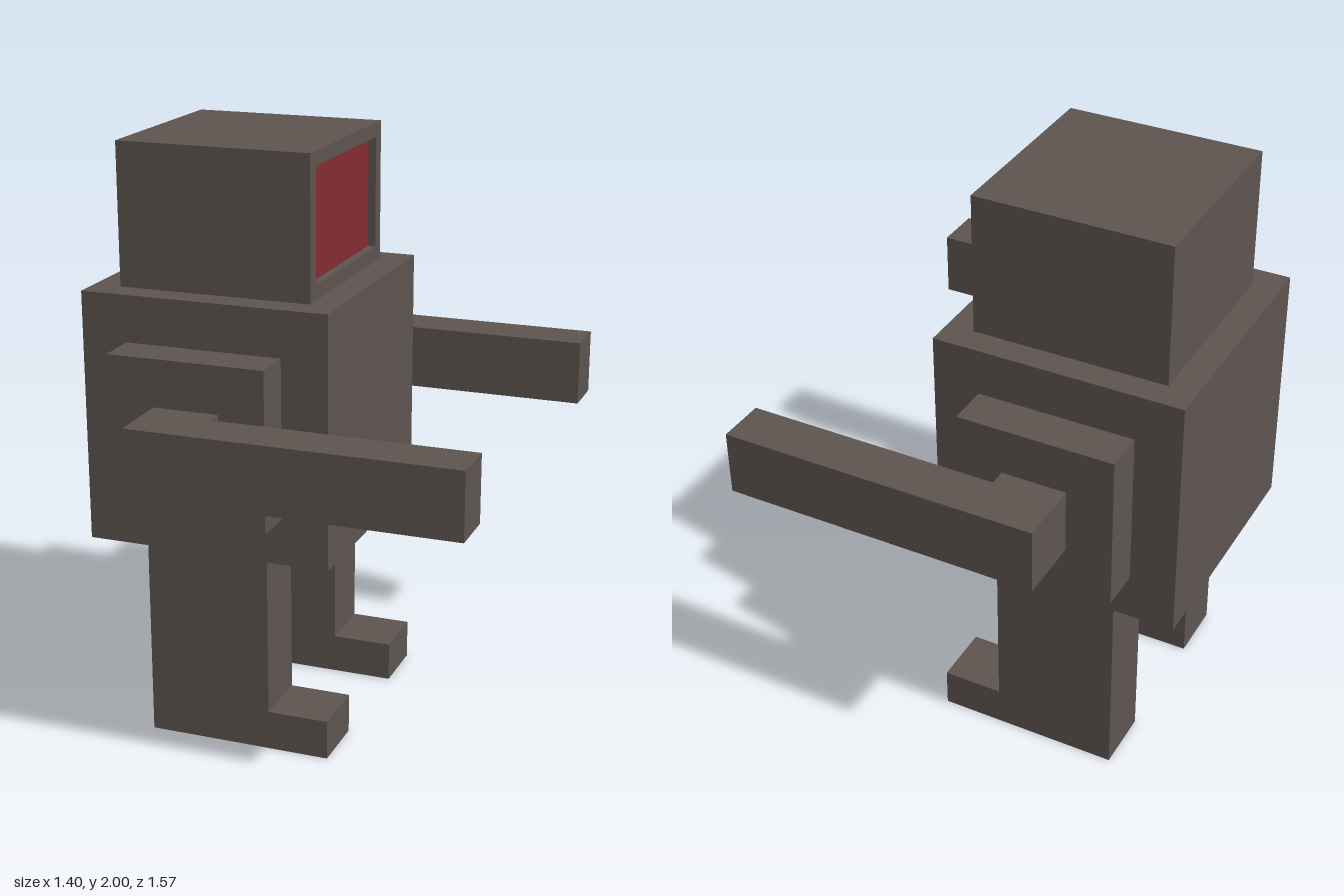
import * as THREE from 'three';

const shell = new THREE.MeshStandardMaterial({ color: 0x5f5651 });
shell.name = 'grey brown shell';
const red = new THREE.MeshStandardMaterial({ color: 0x872d30 });
red.name = 'red visor';

// Box given by its extents on each axis
function block(name, [x0, x1], [y0, y1], [z0, z1], material = shell) {
  const geometry = new THREE.BoxGeometry(x1 - x0, y1 - y0, z1 - z0);
  geometry.translate((x0 + x1) / 2, (y0 + y1) / 2, (z0 + z1) / 2);
  const mesh = new THREE.Mesh(geometry, material);
  mesh.name = name;
  return mesh;
}

// Outline extruded into a solid
function slab(name, points, depth, hole) {
  const toVectors = (list) => list.map(([x, y]) => new THREE.Vector2(x, y));
  const shape = new THREE.Shape(toVectors(points));
  if (hole) shape.holes.push(new THREE.Path(toVectors(hole)));
  const mesh = new THREE.Mesh(new THREE.ExtrudeGeometry(shape, { depth, bevelEnabled: false }), shell);
  mesh.name = name;
  return mesh;
}

const rectangle = (w, y0, y1) => [[-w, y0], [w, y0], [w, y1], [-w, y1]];

export function createModel() {
  const model = new THREE.Group();
  model.name = 'blockRobot';

  // Torso
  model.add(block('torso', [-0.704, 0.143], [0.674, 1.525], [-0.424, 0.424]));

  // Head, facing +x, with a recessed visor
  const head = new THREE.Group();
  head.name = 'head';
  head.add(block('headBlock', [-0.61, 0.02], [1.525, 2], [-0.331, 0.331]));
  const frame = slab('visorFrame', rectangle(0.331, 1.525, 2), 0.03, rectangle(0.282, 1.577, 1.952));
  frame.rotation.y = Math.PI / 2;
  frame.position.x = 0.02;
  head.add(frame);
  head.add(block('visor', [0.018, 0.023], [1.577, 1.952], [-0.282, 0.282], red));
  model.add(head);

  for (const [label, s] of [['left', 1], ['right', -1]]) {
    const span = (a, b) => (s > 0 ? [a, b] : [-b, -a]);

    // Shoulder plate
    model.add(block(label + 'Shoulder', [-0.548, -0.015], [0.832, 1.368], span(0.424, 0.565)));

    // L-shaped arm reaching forward, with a short joint into the shoulder
    const arm = new THREE.Group();
    arm.name = label + 'Arm';
    arm.add(block('armJoint', [-0.39, -0.17], [0.987, 1.209], span(0.565, 0.621)));
    arm.add(block('forearm', [-0.39, 0.697], [0.987, 1.209], span(0.621, 0.787)));
    model.add(arm);

    // Leg and foot in one L-shaped piece
    const leg = slab(label + 'Leg', [
      [-0.495, 0], [0.138, 0], [0.138, 0.135], [-0.07, 0.135], [-0.07, 0.674], [-0.495, 0.674],
    ], 0.212);
    leg.position.z = span(0.212, 0.424)[0];
    model.add(leg);
  }
  return model;
}
